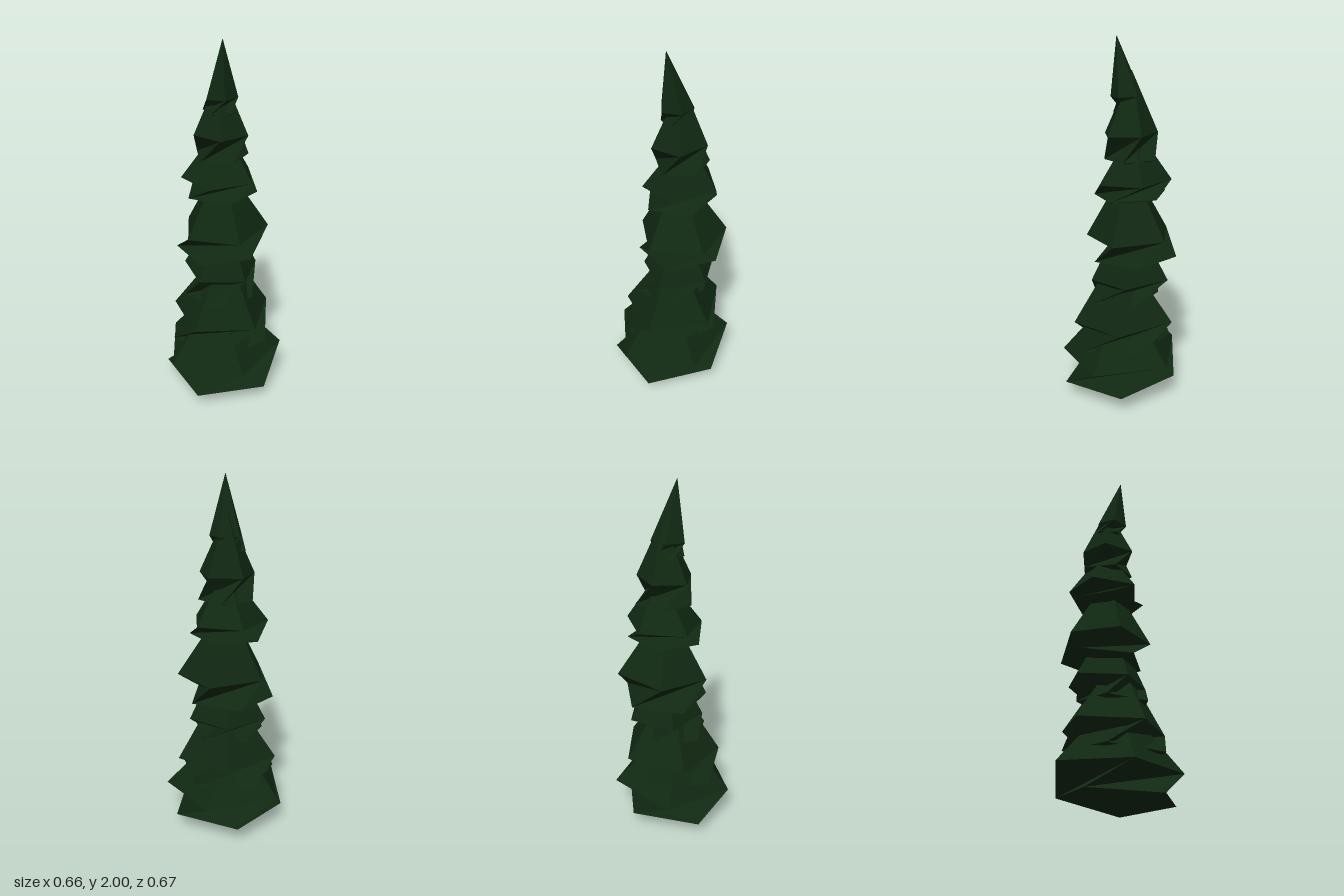
import * as THREE from 'three';

const SIDES = 5;

// Five-sided ring fitted to the bounds [y, xMin, xMax, zMin, zMax, phase in degrees], slightly tilted
function ring([y, x0, x1, z0, z1, phase]) {
  const pts = [];
  for (let i = 0; i < SIDES; i++) {
    const a = THREE.MathUtils.degToRad(phase + (i * 360) / SIDES);
    pts.push(new THREE.Vector3(Math.cos(a), y, Math.sin(a)));
  }
  const box = new THREE.Box3().setFromPoints(pts);
  for (const p of pts) {
    p.x = THREE.MathUtils.mapLinear(p.x, box.min.x, box.max.x, x0, x1);
    p.z = THREE.MathUtils.mapLinear(p.z, box.min.z, box.max.z, z0, z1);
    p.y += 0.04 * p.x - 0.04 * p.z;
  }
  return pts;
}

// One tier: shallow underside, twisted waist between two rings, cone on top
function tierGeometry({ low, high, base, tip }) {
  const a = ring(low), b = ring(high);
  const cx = (high[1] + high[2]) / 2, cz = (high[3] + high[4]) / 2;
  const bottom = new THREE.Vector3(...(base ?? [cx, low[0] - 0.04, cz]));
  const top = Array.isArray(tip) ? new THREE.Vector3(...tip) : new THREE.Vector3(cx, tip, cz);
  const tris = [];
  for (let i = 0; i < SIDES; i++) {
    const n = (i + 1) % SIDES, k = (i + SIDES - 1) % SIDES, m = (i + SIDES - 2) % SIDES;
    tris.push(a[i], a[n], bottom);
    tris.push(a[i], b[k], a[n]);
    tris.push(a[i], b[m], b[k]);
    tris.push(b[i], top, b[n]);
  }
  const g = new THREE.BufferGeometry().setFromPoints(tris);
  g.computeVertexNormals();
  return g;
}

export function createModel() {
  const group = new THREE.Group();
  group.name = 'cypressTree';
  const foliage = new THREE.MeshStandardMaterial({ color: 0x102812, flatShading: true });
  foliage.name = 'darkGreenFoliage';

  // Tiers from the ground to the tip
  const tiers = [
    { low: [0.09, -0.285, 0.33, -0.28, 0.33, 10], high: [0.23, -0.33, 0.305, -0.335, 0.32, 38], base: [0, 0, 0.01], tip: 0.62 },
    { low: [0.31, -0.24, 0.28, -0.28, 0.24, -10], high: [0.45, -0.24, 0.3, -0.25, 0.27, 18], tip: 0.88 },
    { low: [0.58, -0.165, 0.21, -0.21, 0.165, -8], high: [0.7, -0.155, 0.25, -0.235, 0.17, 20], tip: 1.12 },
    { low: [0.82, -0.165, 0.28, -0.28, 0.16, 8], high: [0.95, -0.19, 0.27, -0.265, 0.185, 36], tip: 1.36 },
    { low: [1.17, -0.155, 0.22, -0.25, 0.135, -28], high: [1.25, -0.125, 0.255, -0.255, 0.135, 0], tip: 1.55 },
    { low: [1.37, -0.1, 0.18, -0.19, 0.09, 32], high: [1.5, -0.095, 0.19, -0.19, 0.09, 60], tip: 1.83 },
    { low: [1.62, -0.05, 0.12, -0.12, 0.045, 15], high: [1.695, -0.06, 0.11, -0.11, 0.05, 43], tip: [0, 2, 0.02] },
  ];
  tiers.forEach((t, i) => {
    const mesh = new THREE.Mesh(tierGeometry(t), foliage);
    mesh.name = `foliageTier${i + 1}`;
    group.add(mesh);
  });
  return group;
}
